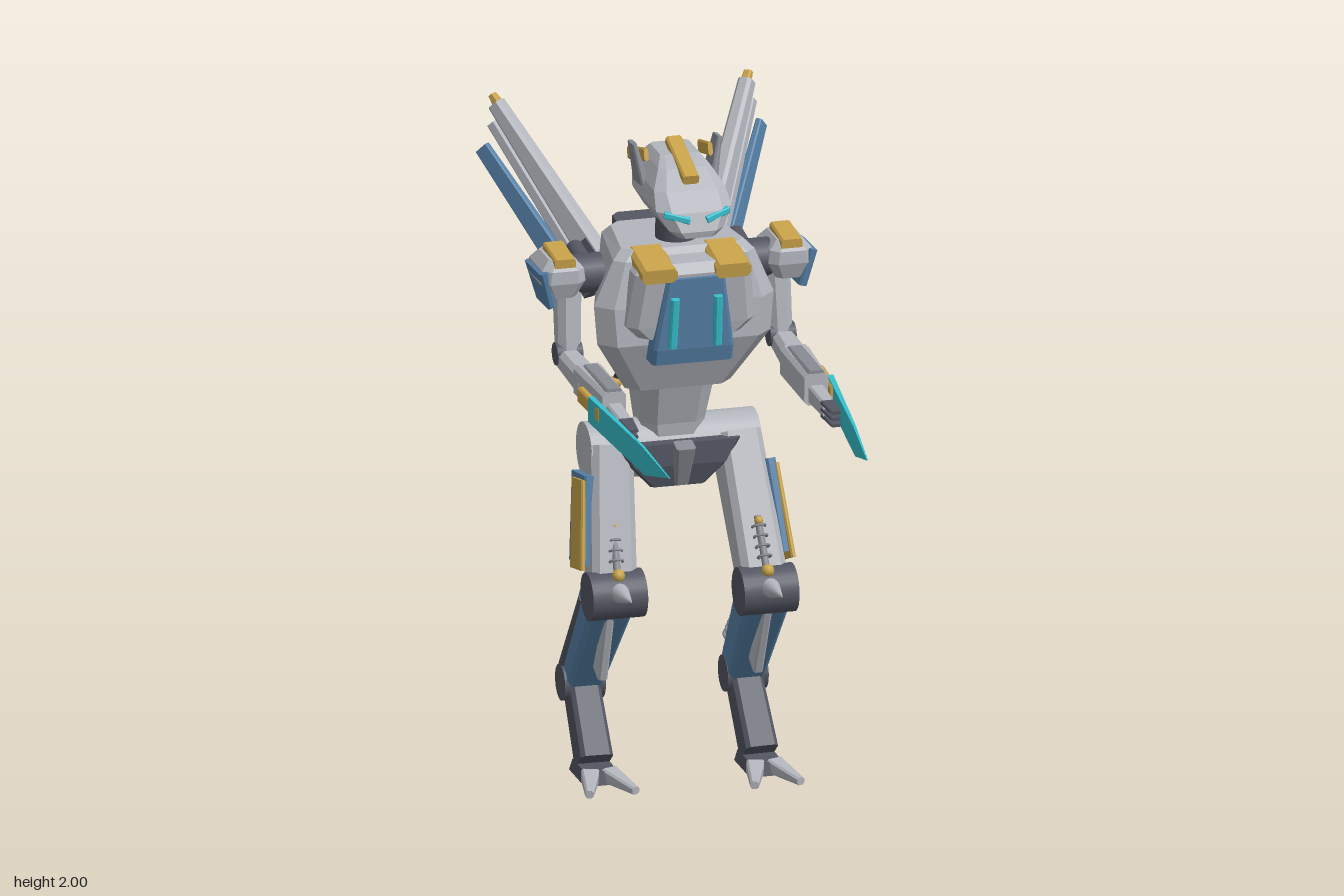
import * as THREE from 'three';

const mat = (name, color) => Object.assign(new THREE.MeshStandardMaterial({ color }), { name });
const M = {
  gray: mat('armour gray', 0xb2b5bc), steel: mat('steel', 0x888b93), dark: mat('dark frame', 0x535662),
  black: mat('black rubber', 0x34363e), blue: mat('blue panel', 0x5681a8),
  gold: mat('gold trim', 0xc8a24a), cyan: mat('cyan energy', 0x36bfcc),
};
const V = (x, y, z) => new THREE.Vector3(x, y, z);

function part(g, name, geo, m) {
  const mesh = new THREE.Mesh(geo, m);
  mesh.name = name;
  g.add(mesh);
}

// Stack of chamfered rectangles; section = [y, halfWidth, zBack, zFront, chamfer, backHalfWidth]
function loftGeo(secs, cx = 0) {
  const rings = secs.map(([y, w, z0, z1, c, b = w]) => [
    [w, z1 - c], [w - c, z1], [c - w, z1], [-w, z1 - c],
    [-b, z0 + c], [c - b, z0], [b - c, z0], [b, z0 + c],
  ].map(([x, z]) => V(cx + x, y, z)));
  const pos = [];
  const tri = (...ps) => ps.forEach((p) => pos.push(p.x, p.y, p.z));
  for (let r = 0; r < rings.length - 1; r++) {
    const A = rings[r], B = rings[r + 1];
    for (let i = 0; i < 8; i++) {
      const j = (i + 1) % 8;
      tri(A[i], B[i], A[j]);
      tri(B[i], B[j], A[j]);
    }
  }
  const bot = rings[0], top = rings[rings.length - 1];
  for (let i = 1; i < 7; i++) {
    tri(bot[0], bot[i], bot[i + 1]);
    tri(top[0], top[i + 1], top[i]);
  }
  const geo = new THREE.BufferGeometry();
  geo.setAttribute('position', new THREE.Float32BufferAttribute(pos, 3));
  geo.computeVertexNormals();
  return geo;
}
const loft = (g, name, m, secs, cx) => part(g, name, loftGeo(secs, cx), m);

// Matrix taking local y onto a->b, with local x as close to ref as possible
function along(a, b, ref = V(1, 0, 0)) {
  const y = b.clone().sub(a).normalize();
  const z = ref.clone().cross(y).normalize();
  return new THREE.Matrix4().makeBasis(y.clone().cross(z), y, z).setPosition(a);
}
// Tapered bar between two points; s0, s1 = [width, depth] at the ends
function beam(g, name, m, a, b, s0, s1 = s0, c = 0.006, ref) {
  const geo = loftGeo([[0, s0], [a.distanceTo(b), s1]].map(([y, [w, d]]) =>
    [y, w / 2, -d / 2, d / 2, Math.min(c, w / 3, d / 3)]));
  part(g, name, geo.applyMatrix4(along(a, b, ref)), m);
}
function rod(g, name, m, a, b, r0, r1 = r0, seg = 20) {
  const h = a.distanceTo(b);
  const ref = Math.abs(b.x - a.x) > h * 0.9 ? V(0, 0, 1) : undefined;
  const geo = new THREE.CylinderGeometry(r1, r0, h, seg).translate(0, h / 2, 0);
  part(g, name, geo.applyMatrix4(along(a, b, ref)), m);
}
const ball = (g, name, m, p, r) => part(g, name, new THREE.SphereGeometry(r, 12, 8).translate(p.x, p.y, p.z), m);
// Row of rings along a line, as a coil spring
function spring(g, a, b, r, n) {
  for (let i = 0; i < n; i++) {
    const p = a.clone().lerp(b, i / (n - 1));
    const geo = new THREE.TorusGeometry(r, r * 0.22, 5, 14).rotateX(Math.PI / 2);
    part(g, 'springCoil', geo.applyMatrix4(along(a, b).setPosition(p)), M.steel);
  }
}
// Mirrored copy of a group across x, keeping faces outward
function mirror(group, name) {
  const out = new THREE.Group();
  out.name = name;
  for (const o of group.children) {
    const geo = (o.geometry.index ? o.geometry.toNonIndexed() : o.geometry.clone()).scale(-1, 1, 1);
    for (const key of ['position', 'normal']) {
      const at = geo.attributes[key];
      for (let i = 0; i < at.count; i += 3) for (let k = 0; k < 3; k++) {
        const t = at.getComponent(i + 1, k);
        at.setComponent(i + 1, k, at.getComponent(i + 2, k));
        at.setComponent(i + 2, k, t);
      }
    }
    part(out, o.name, geo, o.material);
  }
  return out;
}

function body(g) {
  // head and neck
  loft(g, 'head', M.gray, [[1.765, 0.06, -0.14, 0.055, 0.02], [1.785, 0.085, -0.28, 0.06, 0.03],
    [1.84, 0.118, -0.3, 0.04, 0.04], [1.89, 0.11, -0.32, -0.02, 0.03],
    [1.94, 0.08, -0.31, -0.09, 0.02], [1.965, 0.06, -0.28, -0.15, 0.01]]);
  beam(g, 'crest', M.gold, V(0, 1.92, -0.03), V(0, 1.985, -0.225), [0.05, 0.03]);
  rod(g, 'neck', M.dark, V(0, 1.66, -0.2), V(0, 1.81, -0.185), 0.063);
  // torso
  loft(g, 'torso', M.gray, [[1.23, 0.165, -0.38, -0.14, 0.04, 0.13], [1.4, 0.27, -0.4, -0.06, 0.05, 0.19],
    [1.52, 0.28, -0.41, -0.06, 0.05, 0.2], [1.66, 0.22, -0.41, -0.08, 0.03, 0.18], [1.69, 0.19, -0.38, -0.1, 0.03, 0.16]]);
  loft(g, 'chestPlate', M.gray, [[1.43, 0.16, -0.1, -0.02, 0.03], [1.47, 0.2, -0.1, -0.01, 0.03],
    [1.64, 0.18, -0.1, 0.02, 0.03], [1.67, 0.15, -0.1, 0, 0.02]]);
  loft(g, 'chestPanel', M.blue, [[1.35, 0.125, -0.1, -0.01, 0.01], [1.4, 0.125, -0.1, 0.005, 0.01], [1.63, 0.09, -0.1, 0.032, 0.01]]);
  loft(g, 'waist', M.gray, [[1.03, 0.09, -0.36, -0.2, 0.04], [1.1, 0.1, -0.36, -0.19, 0.04], [1.24, 0.118, -0.38, -0.14, 0.05]]);
  // pelvis
  rod(g, 'hipAxle', M.gray, V(-0.265, 1.01, -0.27), V(0.265, 1.01, -0.27), 0.09, 0.09, 24);
  loft(g, 'pelvis', M.dark, [[0.91, 0.085, -0.34, -0.17, 0.01], [0.98, 0.15, -0.39, -0.15, 0.01], [1.05, 0.19, -0.4, -0.15, 0.01]]);
  beam(g, 'skirtPlate', M.steel, V(0, 1.06, -0.1), V(0, 0.93, -0.14), [0.06, 0.05], [0.04, 0.03]);
  // backpack
  beam(g, 'backpack', M.dark, V(0, 1.41, -0.455), V(0, 1.68, -0.425), [0.24, 0.1], [0.25, 0.1], 0.02);
  beam(g, 'centreThruster', M.cyan, V(0, 1.42, -0.425), V(0, 1.3, -0.445), [0.05, 0.045], [0.04, 0.035]);
}

// paired details of the head, chest and back
function trims(g) {
  beam(g, 'eye', M.cyan, V(0.025, 1.818, 0.047), V(0.1, 1.838, 0.028), [0.02, 0.02], [0.02, 0.02], 0.003, V(0, 1, 0));
  beam(g, 'earFin', M.steel, V(0.107, 1.87, -0.2), V(0.133, 1.995, -0.21), [0.025, 0.1], [0.014, 0.06]);
  beam(g, 'earTrim', M.gold, V(0.1, 1.965, -0.17), V(0.11, 1.925, -0.32), [0.014, 0.04]);
  beam(g, 'chestLight', M.cyan, V(0.07, 1.41, 0.01), V(0.067, 1.57, 0.032), [0.026, 0.025]);
  beam(g, 'collar', M.gold, V(0.115, 1.67, -0.13), V(0.115, 1.645, 0.035), [0.11, 0.05], [0.11, 0.045], 0.012);
  rod(g, 'sideThruster', M.cyan, V(0.14, 1.5, -0.45), V(0.155, 1.52, -0.535), 0.026);
  rod(g, 'shoulderPort', M.dark, V(0.25, 1.58, -0.3), V(0.25, 1.6, -0.43), 0.027);
  const hose = new THREE.CatmullRomCurve3([V(0.1, 1.27, -0.36), V(0.135, 1.18, -0.385), V(0.13, 1.1, -0.39), V(0.1, 1.02, -0.37)]);
  part(g, 'waistHose', new THREE.TubeGeometry(hose, 16, 0.011, 8), M.black);
  ball(g, 'hoseClamp', M.gold, V(0.135, 1.18, -0.385), 0.02);
  // wing: d runs to the tip, w across the blade, n out of its face
  const d = V(0.39, 0.716, -0.579).normalize(), n = V(0.756, 0.113, 0.645);
  const w = d.clone().cross(n).normalize();
  const P = (t, k, m = 0) => V(0.16, 1.53, -0.45).addScaledVector(d, t).addScaledVector(w, k).addScaledVector(n, m);
  beam(g, 'wingRoot', M.dark, P(-0.05, 0.03), P(0.09, 0.03), [0.07, 0.14], [0.06, 0.13], 0.01, n);
  beam(g, 'wingBlade', M.gray, P(0, 0), P(0.59, 0), [0.06, 0.085], [0.045, 0.05], 0.01, n);
  beam(g, 'wingRib', M.gray, P(0.02, 0.058, 0.005), P(0.55, 0.045, 0.005), [0.045, 0.04], [0.03, 0.035], 0.006, n);
  beam(g, 'wingTip', M.gold, P(0.56, -0.005), P(0.62, -0.005), [0.03, 0.035], [0.025, 0.02], 0.004, n);
  beam(g, 'wingVane', M.blue, P(0.04, 0.11, 0.015), P(0.51, 0.115, 0.02), [0.03, 0.07], [0.02, 0.05], 0.004, n);
}

function arm(g) {
  rod(g, 'shoulderJoint', M.dark, V(0.22, 1.58, -0.25), V(0.36, 1.58, -0.25), 0.06);
  loft(g, 'pauldron', M.gray, [[1.53, 0.045, -0.33, -0.18, 0.02], [1.58, 0.07, -0.355, -0.16, 0.025],
    [1.62, 0.065, -0.355, -0.16, 0.025], [1.65, 0.04, -0.33, -0.18, 0.02]], 0.355);
  beam(g, 'pauldronTrim', M.gold, V(0.353, 1.655, -0.3), V(0.353, 1.64, -0.165), [0.065, 0.035]);
  beam(g, 'pauldronPanel', M.blue, V(0.42, 1.615, -0.25), V(0.39, 1.5, -0.245), [0.025, 0.18], [0.025, 0.14]);
  beam(g, 'upperArm', M.gray, V(0.325, 1.56, -0.25), V(0.33, 1.34, -0.22), [0.075, 0.1], [0.07, 0.075], 0.02);
  rod(g, 'elbow', M.dark, V(0.292, 1.345, -0.215), V(0.372, 1.345, -0.215), 0.035);
  beam(g, 'forearm', M.gray, V(0.335, 1.33, -0.22), V(0.325, 1.315, 0.02), [0.07, 0.065], [0.08, 0.08], 0.015);
  beam(g, 'gauntlet', M.gray, V(0.322, 1.32, -0.03), V(0.315, 1.315, 0.235), [0.09, 0.1], [0.075, 0.1], 0.012);
  beam(g, 'gauntletCap', M.steel, V(0.318, 1.365, -0.01), V(0.315, 1.365, 0.235), [0.05, 0.02]);
  beam(g, 'hand', M.gray, V(0.315, 1.3, 0.22), V(0.315, 1.295, 0.38), [0.05, 0.06], [0.04, 0.05]);
  for (let i = 0; i < 3; i++)
    beam(g, 'finger', M.dark, V(0.315, 1.275 + i * 0.02, 0.36), V(0.315, 1.27 + i * 0.02, 0.45), [0.045, 0.014], [0.03, 0.01], 0.003);
  beam(g, 'bladeMount', M.gold, V(0.372, 1.31, 0.075), V(0.362, 1.305, 0.27), [0.025, 0.05]);
  // blade outline in z and y, leaning inward toward the tip
  const outline = [[0.185, 1.34], [0.6, 1.315], [0.82, 1.28], [0.63, 1.23], [0.185, 1.26]];
  const shape = new THREE.Shape(outline.map(([z, y]) => new THREE.Vector2(-z, y)));
  const geo = new THREE.ExtrudeGeometry(shape, { depth: 0.018, bevelEnabled: false }).rotateY(Math.PI / 2);
  const p = geo.attributes.position;
  for (let i = 0; i < p.count; i++) {
    const t = (p.getZ(i) - 0.185) / 0.635;
    p.setX(i, 0.373 - 0.065 * t + (p.getX(i) - 0.009) * (1 - 0.8 * t));
  }
  geo.computeVertexNormals();
  part(g, 'blade', geo, M.cyan);
}

// k, a: backward shifts of the knee and of the ankle with the foot
function leg(g, k, a) {
  const K = (x, y, z) => V(x, y, z - k), A = (x, y, z) => V(x, y, z - a);
  const H = (x, y, z) => V(x, y, z - k * 0.3);
  // thigh
  beam(g, 'thigh', M.gray, V(0.2, 1.03, -0.25), K(0.225, 0.63, -0.04), [0.13, 0.16], [0.14, 0.12], 0.02);
  beam(g, 'thighSidePanel', M.blue, H(0.28, 0.955, -0.21), K(0.303, 0.69, -0.11), [0.03, 0.15], [0.03, 0.14]);
  beam(g, 'thighTrim', M.gold, H(0.298, 0.945, -0.19), K(0.318, 0.68, -0.08), [0.015, 0.115], [0.015, 0.125]);
  rod(g, 'thighPiston', M.steel, K(0.215, 0.83, -0.06), K(0.222, 0.68, 0.02), 0.011);
  spring(g, K(0.216, 0.8, -0.05), K(0.22, 0.72, 0), 0.02, 4);
  ball(g, 'pistonKnob', M.gold, K(0.222, 0.685, 0.03), 0.02);
  ball(g, 'pistonTopKnob', M.gold, K(0.215, 0.82, -0.045), 0.014);
  // knee
  rod(g, 'kneeJoint', M.dark, K(0.14, 0.615, -0.005), K(0.31, 0.615, -0.005), 0.074, 0.074, 24);
  rod(g, 'kneeSpike', M.gray, K(0.224, 0.635, 0.04), K(0.224, 0.65, 0.18), 0.033, 0.002, 16);
  // shin
  beam(g, 'shin', M.blue, K(0.232, 0.62, -0.03), A(0.245, 0.26, -0.33), [0.145, 0.13], [0.115, 0.11], 0.015);
  beam(g, 'shinSideRail', M.dark, K(0.295, 0.58, -0.1), A(0.298, 0.3, -0.335), [0.025, 0.03]);
  beam(g, 'shinFin', M.gray, K(0.235, 0.54, -0.03), A(0.235, 0.33, -0.15), [0.03, 0.03], [0.03, 0.07]);
  for (const x of [0.21, 0.265]) {
    rod(g, 'calfPiston', M.steel, K(x, 0.57, -0.13), A(x, 0.31, -0.37), 0.014, 0.014, 12);
    spring(g, K(x, 0.49, -0.205), A(x, 0.37, -0.325), 0.023, 6);
  }
  beam(g, 'calfRail', M.dark, K(0.238, 0.58, -0.1), A(0.238, 0.3, -0.38), [0.03, 0.04]);
  // ankle and foot
  rod(g, 'ankleJoint', M.dark, A(0.183, 0.25, -0.325), A(0.31, 0.25, -0.325), 0.056, 0.056, 24);
  ball(g, 'ankleBolt', M.gold, A(0.245, 0.235, -0.385), 0.012);
  beam(g, 'lowerLeg', M.dark, A(0.245, 0.25, -0.33), A(0.25, 0.045, -0.165), [0.095, 0.1], [0.1, 0.11], 0.012);
  loft(g, 'foot', M.dark, [[0, 0.055, -0.26 - a, -0.07 - a, 0.015], [0.04, 0.05, -0.24 - a, -0.08 - a, 0.015]], 0.25);
  for (const s of [-1, 1])
    beam(g, 'frontToe', M.gray, A(0.25 + s * 0.03, 0.024, -0.1), A(0.25 + s * 0.072, 0.013, 0.04), [0.055, 0.045], [0.025, 0.024]);
  beam(g, 'heelSpur', M.gray, A(0.25, 0.024, -0.21), A(0.25, 0.012, -0.33), [0.06, 0.045], [0.025, 0.022]);
}

export function createModel() {
  const root = new THREE.Group();
  root.name = 'robot';
  const make = (name, fn, ...args) => {
    const g = new THREE.Group();
    g.name = name;
    fn(g, ...args);
    return g;
  };
  root.add(make('body', body));
  for (const [name, fn] of [['Trims', trims], ['Arm', arm]]) {
    const left = make('left' + name, fn);
    root.add(left, mirror(left, 'right' + name));
  }
  // the right leg stands slightly further back
  root.add(make('leftLeg', leg, 0, 0), mirror(make('leg', leg, 0.075, 0.05), 'rightLeg'));
  return root;
}
